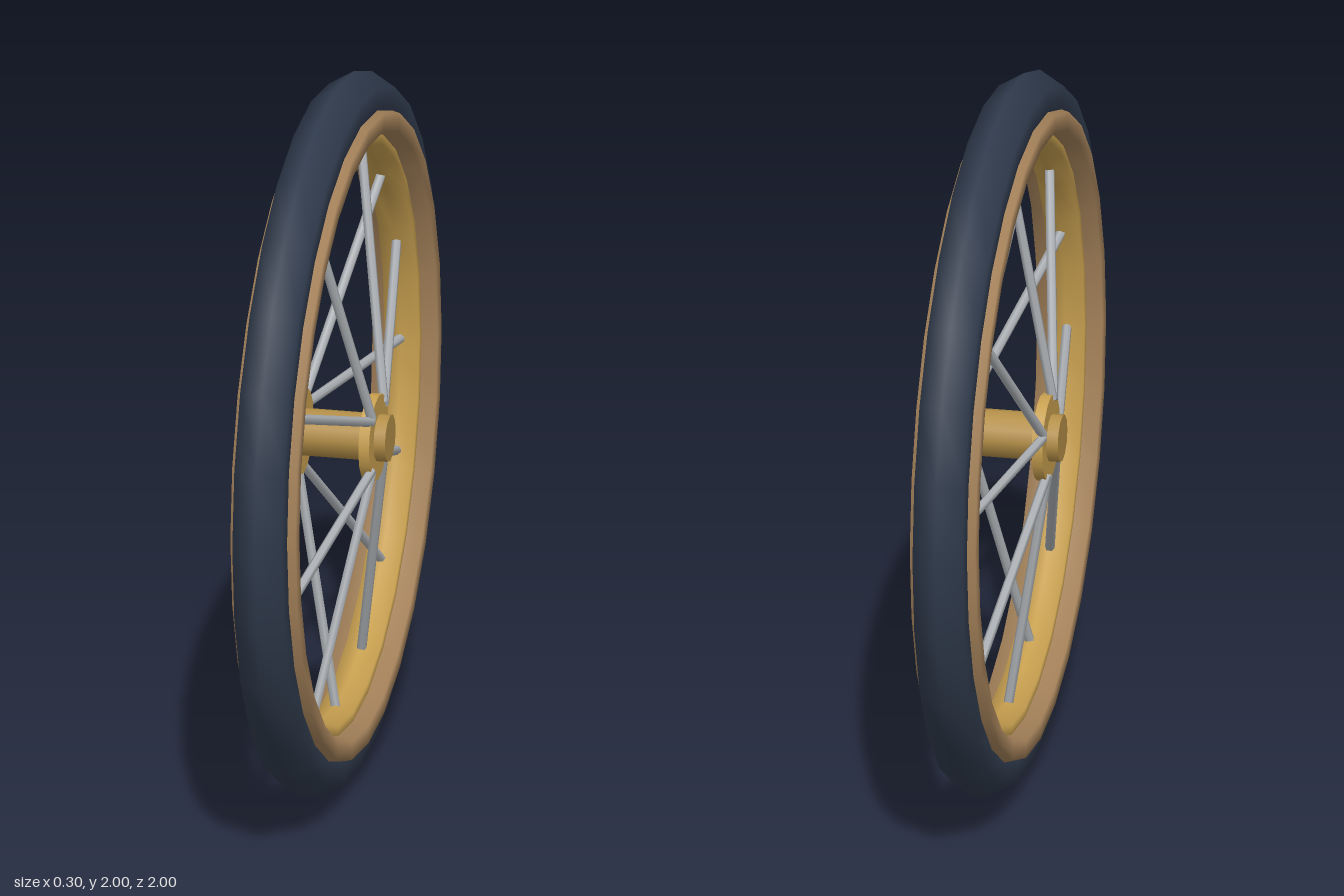
import * as THREE from 'three';

const paint = (name, color) => {
  const m = new THREE.MeshStandardMaterial({ color });
  m.name = name;
  return m;
};

export function createModel() {
  const rubber = paint('dark rubber', 0x2f3a4c);
  const tan = paint('tan rim', 0xa5825a);
  const gold = paint('gold', 0xc8a050);
  const bronze = paint('bronze axle', 0xb48f48);
  const steel = paint('steel spokes', 0xaeb2b6);

  const wheel = new THREE.Group();
  wheel.name = 'wheel';
  wheel.position.y = 1;

  const add = (name, geometry, material) => {
    const mesh = new THREE.Mesh(geometry, material);
    mesh.name = name;
    wheel.add(mesh);
    return mesh;
  };

  // Hexagonal-section ring around the x axis, widened sideways
  const ring = (radius, tube, widen) =>
    new THREE.TorusGeometry(radius, tube, 6, 28).rotateY(Math.PI / 2).scale(widen, 1, 1);

  add('tyre', ring(0.92, 0.08, 1), rubber);
  add('rim', ring(0.865, 0.05, 2.1), tan);
  add('innerRim', ring(0.82, 0.035, 1.6), gold);

  // Valve stem hanging from the top of the rim
  add('valve', new THREE.CylinderGeometry(0.022, 0.022, 0.1, 8), gold).position.y = 0.755;

  // Hub
  const disc = (radius, width, sides) =>
    new THREE.CylinderGeometry(radius, radius, width, sides).rotateZ(Math.PI / 2);
  add('axle', disc(0.066, 0.304, 12), bronze);
  for (const side of [-1, 1]) {
    add('hubFlange', disc(0.12, 0.03, 16), gold).position.x = side * 0.105;
  }

  // Spokes alternate between flanges and lean in crossing pairs
  const up = new THREE.Vector3(0, 1, 0);
  const spokePoint = (x, r, a) => new THREE.Vector3(x, r * Math.cos(a), -r * Math.sin(a));
  for (let i = 0; i < 16; i++) {
    const angle = (i * Math.PI) / 8;
    const side = i % 2 ? 1 : -1;
    const lean = Math.floor((i + 1) / 2) % 2 ? 0.35 : -0.35;
    const from = spokePoint(side * 0.117, 0.105, angle + lean);
    const to = spokePoint(0, 0.8, angle);
    const along = to.clone().sub(from);
    const spoke = add('spoke', new THREE.CylinderGeometry(0.0135, 0.0135, along.length(), 6), steel);
    spoke.position.copy(from).add(to).multiplyScalar(0.5);
    spoke.quaternion.setFromUnitVectors(up, along.normalize());
  }

  const model = new THREE.Group();
  model.add(wheel);
  return model;
}
